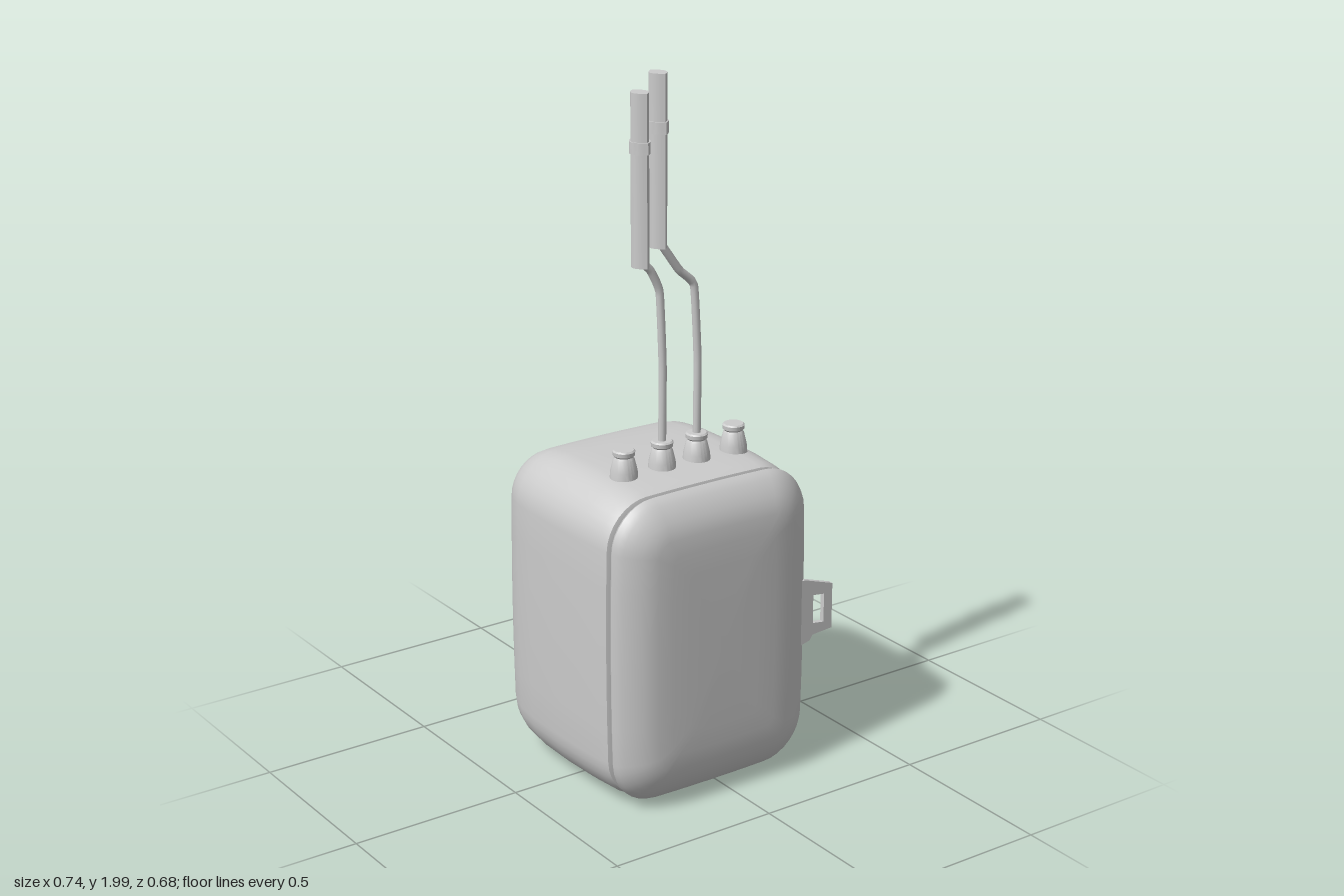
import * as THREE from 'three';
import { toCreasedNormals } from 'three/addons/utils/BufferGeometryUtils.js';

const material = new THREE.MeshStandardMaterial({ color: 0xcccccc });
const PORT_Z = 0.108;

function add(parent, name, geometry, x = 0, y = 0, z = 0) {
  const mesh = new THREE.Mesh(geometry, material);
  mesh.name = name;
  mesh.position.set(x, y, z);
  parent.add(mesh);
  return mesh;
}

// Rounded rectangle outline, counter-clockwise, with slightly bulging sides
function outline(w, h, r, z) {
  const points = [];
  const steps = 8, edgeSteps = 6;
  const corners = [[1, -1], [1, 1], [-1, 1], [-1, -1]];
  const flat = [];
  corners.forEach(([sx, sy], k) => {
    for (let i = 0; i <= steps; i++) {
      const a = (k - 1 + i / steps) * Math.PI / 2;
      flat.push([sx * (w - r) + Math.cos(a) * r, sy * (h - r) + Math.sin(a) * r]);
    }
  });
  flat.forEach((p, i) => {
    points.push(p);
    if (i % (steps + 1) !== steps) return;
    const q = flat[(i + 1) % flat.length];
    for (let s = 1; s < edgeSteps; s++) {
      const t = s / edgeSteps;
      points.push([p[0] + (q[0] - p[0]) * t, p[1] + (q[1] - p[1]) * t]);
    }
  });
  return points.map(([x, y]) => [
    x * (1 - 0.025 * (y / h) ** 2), y * (1 - 0.015 * (x / w) ** 2), z]);
}

// Closed skin over outlines ordered from front to back
function loft(rings) {
  const n = rings[0].length;
  const last = (rings.length - 1) * n;
  const index = [];
  for (let i = 0; i < rings.length - 1; i++) {
    for (let j = 0; j < n; j++) {
      const a = i * n + j, b = i * n + (j + 1) % n;
      index.push(a, a + n, b, b, a + n, b + n);
    }
  }
  const front = rings.length * n, back = front + 1;
  for (let j = 0; j < n; j++) {
    const k = (j + 1) % n;
    index.push(front, j, k, back, last + k, last + j);
  }
  const positions = [...rings.flat(), [0, 0, rings[0][0][2]], [0, 0, rings[rings.length - 1][0][2]]];
  const geometry = new THREE.BufferGeometry();
  geometry.setAttribute('position', new THREE.Float32BufferAttribute(positions.flat(), 3));
  geometry.setIndex(index);
  return toCreasedNormals(geometry, 0.7);
}

// Sections are [z, inset from the full outline]
function shell(w, h, r, sections) {
  return loft(sections.map(([z, inset]) =>
    outline(w - inset, h - inset, Math.max(r - inset * 0.85, 0.025), z)));
}

// Pointed oval column standing on y = 0
function lensColumn(halfX, halfZ, height) {
  const shape = new THREE.Shape();
  shape.moveTo(0, -halfZ);
  shape.quadraticCurveTo(halfX * 2, 0, 0, halfZ);
  shape.quadraticCurveTo(-halfX * 2, 0, 0, -halfZ);
  const geometry = new THREE.ExtrudeGeometry(shape, { depth: height, bevelEnabled: false, curveSegments: 12 });
  geometry.rotateX(-Math.PI / 2);
  return toCreasedNormals(geometry, 0.6);
}

export function createModel() {
  const model = new THREE.Group();
  model.name = 'cableBox';

  // Main housing, rounded towards the back
  add(model, 'housing', shell(0.335, 0.455, 0.14, [
    [0.243, 0.03], [0.238, 0.016], [0.21, 0.009], [0.12, 0.003], [0, 0], [-0.12, 0.002], [-0.19, 0.009],
    [-0.235, 0.022], [-0.27, 0.04], [-0.295, 0.06], [-0.315, 0.083],
    [-0.328, 0.11], [-0.335, 0.14], [-0.339, 0.19], [-0.341, 0.26],
  ]), -0.035, 0.465, 0);

  // Front door with a softened front rim
  add(model, 'door', shell(0.322, 0.443, 0.13, [
    [0.339, 0.21], [0.337, 0.15], [0.333, 0.105], [0.327, 0.08], [0.318, 0.059],
    [0.305, 0.037], [0.29, 0.019], [0.277, 0.007], [0.263, 0], [0.25, 0.007], [0.238, 0.02], [0.233, 0.045],
  ]), -0.033, 0.465, 0);

  // Latch tab with a slot
  const tab = new THREE.Shape([
    [0.25, 0.365], [0.29, 0.375], [0.30, 0.39], [0.367, 0.395],
    [0.367, 0.53], [0.27, 0.562], [0.25, 0.562],
  ].map(([x, y]) => new THREE.Vector2(x, y)));
  tab.holes.push(new THREE.Path([
    [0.30, 0.425], [0.30, 0.51], [0.338, 0.505], [0.338, 0.42],
  ].map(([x, y]) => new THREE.Vector2(x, y))));
  add(model, 'latch', new THREE.ExtrudeGeometry(tab, { depth: 0.015, bevelEnabled: false }), 0, 0, 0.284);

  // Tapered cable glands on the top
  const glandProfile = [
    [0, 0], [0.039, 0], [0.037, 0.025], [0.029, 0.058], [0.025, 0.064],
    [0.03, 0.069], [0.031, 0.08], [0.027, 0.084], [0, 0.084],
  ].map(([x, y]) => new THREE.Vector2(x, y));
  const gland = toCreasedNormals(new THREE.LatheGeometry(glandProfile, 24), 0.5);
  [-0.205, -0.08, 0.035, 0.16].forEach((x) => add(model, 'cableGland', gland, x, 0.908, PORT_Z));

  // Bent cables, each ending in a column with a collar
  const cables = [
    { path: [[-0.08, 0.97], [-0.078, 1.2], [-0.088, 1.41], [-0.118, 1.475], [-0.15, 1.505]],
      x: -0.15, bottom: 1.49, top: 1.955, collar: 1.795 },
    { path: [[0.035, 0.97], [0.037, 1.2], [0.024, 1.41], [-0.025, 1.46], [-0.093, 1.555]],
      x: -0.093, bottom: 1.535, top: 2, collar: 1.842 },
  ];
  for (const { path, x, bottom, top, collar } of cables) {
    const curve = new THREE.CatmullRomCurve3(
      path.map(([px, py]) => new THREE.Vector3(px, py, PORT_Z)), false, 'catmullrom', 0.2);
    add(model, 'cable', new THREE.TubeGeometry(curve, 40, 0.0115, 10));
    add(model, 'connector', lensColumn(0.024, 0.033, top - bottom), x, bottom, PORT_Z);
    add(model, 'connectorCollar', lensColumn(0.028, 0.038, 0.032), x, collar, PORT_Z);
  }
  return model;
}
